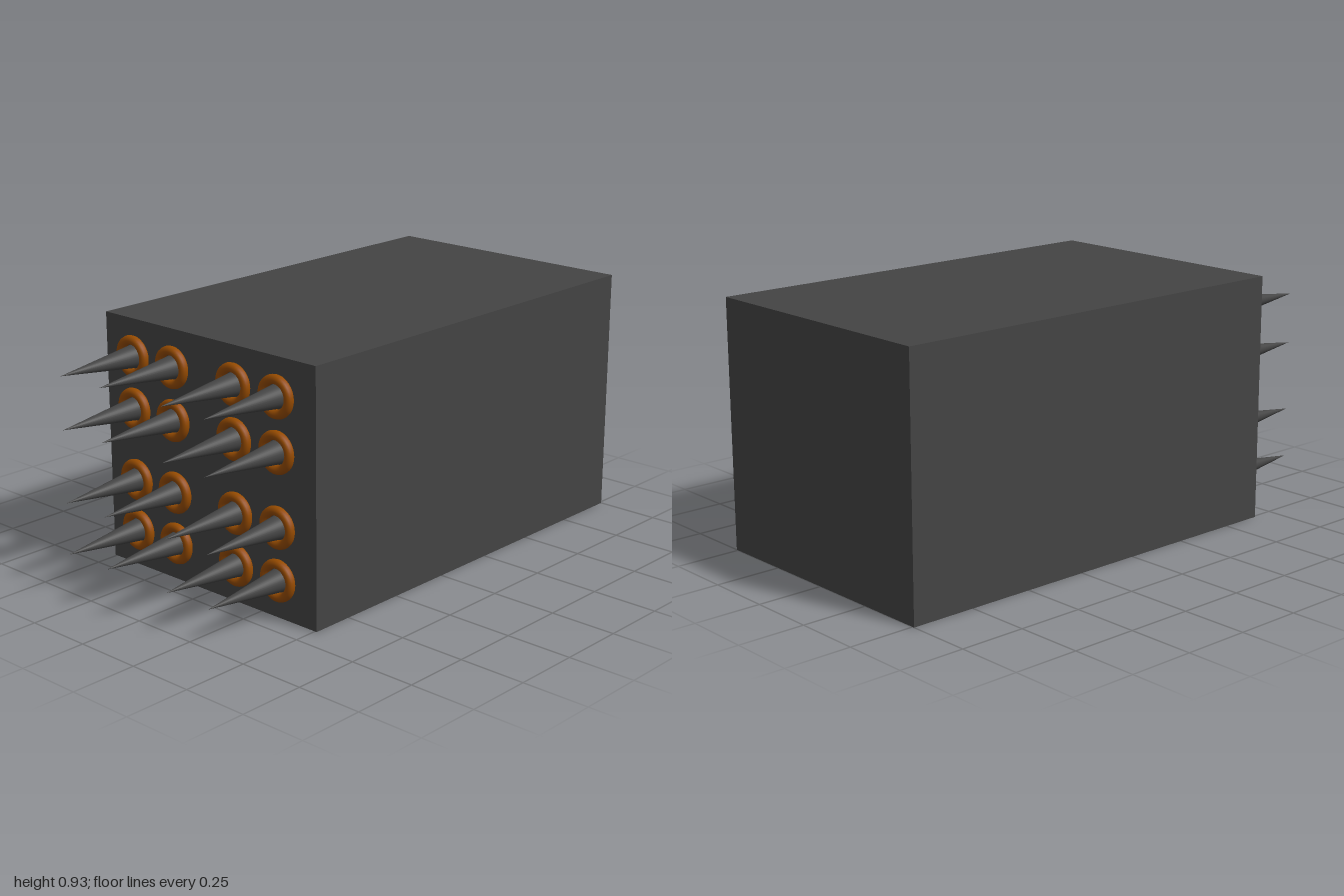
import * as THREE from 'three';

export function createModel() {
  const model = new THREE.Group();
  model.name = 'spikedBlock';

  const darkGrey = new THREE.MeshStandardMaterial({ color: 0x444444 });
  darkGrey.name = 'darkGrey';
  const brown = new THREE.MeshStandardMaterial({ color: 0x964b00 });
  brown.name = 'brown';

  const add = (parent, name, geometry, material) => {
    const mesh = new THREE.Mesh(geometry, material);
    mesh.name = name;
    parent.add(mesh);
  };

  // Solid block
  const faceX = -0.66;
  const block = new THREE.BoxGeometry(1 - faceX, 0.93, 1.016);
  block.translate((1 + faceX) / 2, 0.465, 0);
  add(model, 'block', block, darkGrey);

  // Spike and collar, both pointing along -x from the block's face
  const spikeLength = 0.34;
  const spikeShape = new THREE.ConeGeometry(0.043, spikeLength, 32);
  spikeShape.rotateZ(Math.PI / 2).translate(-spikeLength / 2, 0, 0);
  const collarShape = new THREE.TorusGeometry(0.06, 0.017, 12, 40);
  collarShape.rotateY(Math.PI / 2).translate(-0.013, 0, 0);

  // Four by four grid, in pairs with a wider gap through the middle
  for (const y of [0.143, 0.335, 0.602, 0.795]) {
    for (const z of [-0.36, -0.16, 0.14, 0.34]) {
      const unit = new THREE.Group();
      unit.name = 'collaredSpike';
      unit.position.set(faceX, y, z);
      add(unit, 'spike', spikeShape, darkGrey);
      add(unit, 'collar', collarShape, brown);
      model.add(unit);
    }
  }
  return model;
}
